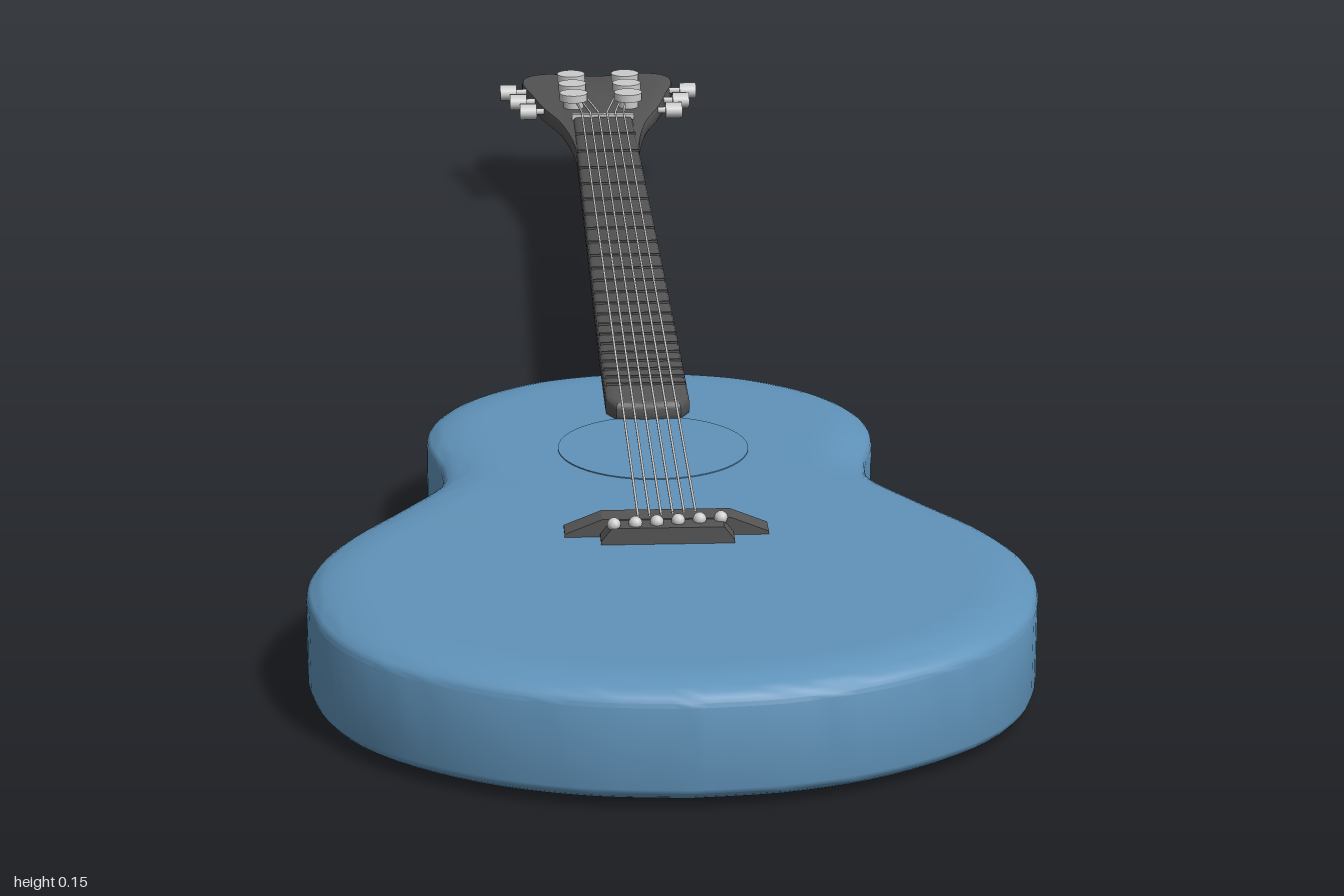
import * as THREE from 'three';
import { toCreasedNormals } from 'three/addons/utils/BufferGeometryUtils.js';

const blue = new THREE.MeshStandardMaterial({ color: 0x6093ba });
const dark = new THREE.MeshStandardMaterial({ color: 0x555555 });
const grey = new THREE.MeshStandardMaterial({ color: 0xcccccc });

const v2 = ([x, z]) => new THREE.Vector2(x, z);
const v3 = (x, y, z) => new THREE.Vector3(x, y, z);

// Closed outline from its +x half (listed in order), mirrored to -x.
function mirroredOutline(half) {
  return [...half, ...half.slice().reverse()
    .filter(([x]) => x > 1e-4).map(([x, z]) => [-x, z])];
}

// Smooth +x half through a few points.
function smoothHalf(points, n) {
  return new THREE.SplineCurve(points.map(v2)).getPoints(n).map(p => [Math.max(0, p.x), p.y]);
}

// Slab with an (x, z) outline between y0 and y1, with rounded rims.
function slab(outline, y0, y1, inset, rise, segments) {
  const geo = new THREE.ExtrudeGeometry(new THREE.Shape(outline.map(v2)), {
    depth: y1 - y0 - 2 * rise, bevelEnabled: inset > 0, bevelSize: inset,
    bevelOffset: -inset, bevelThickness: rise, bevelSegments: segments,
  });
  geo.rotateX(Math.PI / 2);
  geo.translate(0, y1 - rise, 0);
  return toCreasedNormals(geo, 0.6);
}

export function createModel() {
  const model = new THREE.Group();
  const add = (name, geo, mat, parent = model) => {
    const mesh = new THREE.Mesh(geo, mat);
    mesh.name = name;
    parent.add(mesh);
    return mesh;
  };
  const group = name => {
    const g = new THREE.Group();
    g.name = name;
    model.add(g);
    return g;
  };
  const rod = (name, a, b, r, mat, parent, sides = 6) => {
    const mesh = add(name, new THREE.CylinderGeometry(r, r, a.distanceTo(b), sides), mat, parent);
    mesh.position.copy(a).add(b).multiplyScalar(0.5);
    mesh.quaternion.setFromUnitVectors(v3(0, 1, 0), b.clone().sub(a).normalize());
    return mesh;
  };

  // Hollow-waisted body
  const bodyHalf = smoothHalf([
    [0, 0.11], [0.06, 0.117], [0.12, 0.139], [0.18, 0.188], [0.214, 0.25], [0.22, 0.315],
    [0.207, 0.385], [0.21, 0.44], [0.25, 0.51], [0.3, 0.59], [0.328, 0.665], [0.332, 0.74],
    [0.31, 0.83], [0.262, 0.9], [0.18, 0.958], [0.09, 0.99], [0, 1],
  ], 70);
  add('body', slab(mirroredOutline(bodyHalf), 0, 0.116, 0.055, 0.02, 8), blue);

  // Sound hole cover
  const hole = add('soundHole', new THREE.CylinderGeometry(0.093, 0.093, 0.003, 48), blue);
  hole.position.set(0, 0.1155, 0.375);

  // Neck
  add('neck', slab(mirroredOutline([
    [0, 0.292], [0.032, 0.29], [0.042, 0.27], [0.042, 0.1], [0.036, -0.79], [0, -0.79],
  ]), 0.113, 0.134, 0.005, 0.007, 3), dark);

  // Headstock flaring to two rounded lobes
  const headHalf = smoothHalf([
    [0.036, -0.63], [0.041, -0.7], [0.052, -0.775], [0.07, -0.84], [0.082, -0.9], [0.092, -0.955],
    [0.085, -0.988], [0.06, -1], [0.03, -0.993], [0, -0.987],
  ], 40);
  add('headstock', slab(mirroredOutline([[0, -0.63], ...headHalf]), 0.113, 0.131, 0.003, 0.003, 2), dark);

  // Nut and frets, spaced by the usual twelfth-root rule
  const nutZ = -0.785, saddleZ = 0.63, fretBoard = group('frets');
  add('nut', new THREE.BoxGeometry(0.074, 0.008, 0.007), grey).position.set(0, 0.1335, nutZ);
  for (let i = 1; i <= 22; i++) {
    const z = saddleZ - (saddleZ - nutZ) / 2 ** (i / 12);
    const w = 0.07 + 0.01 * Math.min(1, (z - nutZ) / 0.9);
    add('fret', new THREE.BoxGeometry(w, 0.003, 0.003), dark, fretBoard).position.set(0, 0.1345, z);
  }

  // Bridge with sloping ends, and the lower plate that holds the pins
  const bridge = group('bridge');
  const wedge = (name, w, top, h, z0, z1) => {
    const s = new THREE.Shape([[-w, 0], [w, 0], [w, 0.005], [top, h], [-top, h], [-w, 0.005]].map(v2));
    const geo = new THREE.ExtrudeGeometry(s, { depth: z1 - z0, bevelEnabled: false });
    geo.translate(0, 0.114, z0);
    add(name, geo, dark, bridge);
  };
  wedge('bridgeBase', 0.095, 0.06, 0.019, 0.598, 0.624);
  wedge('pinPlate', 0.062, 0.052, 0.018, 0.622, 0.646);

  // Strings from bridge pin over the nut to a tuning post
  const strings = group('strings'), tuners = group('tuners');
  const rows = [-0.84, -0.885, -0.93];
  for (let i = 0; i < 6; i++) {
    const t = i / 5 - 0.5, side = Math.sign(t);
    const row = i < 3 ? i : 5 - i;
    const pinZ = 0.633 - 0.014 * t;
    const pin = add('bridgePin', new THREE.SphereGeometry(0.0065, 10, 8), grey, bridge);
    pin.position.set(t * 0.1, 0.134, pinZ);
    const nutPoint = v3(t * 0.05, 0.139, nutZ);
    rod('string', v3(t * 0.054, 0.137, pinZ - 0.012), nutPoint, 0.0013, grey, strings);
    rod('stringEnd', nutPoint, v3(side * 0.03, 0.139, rows[row]), 0.0013, grey, strings);
  }

  // Tuning posts, shafts and side buttons, three on each side
  for (const side of [-1, 1]) {
    rows.forEach((z, i) => {
      const outer = 0.098 + 0.011 * i;
      rod('tuningPost', v3(side * 0.033, 0.128, z), v3(side * 0.033, 0.145, z), 0.012, grey, tuners, 16);
      rod('postCap', v3(side * 0.033, 0.14, z), v3(side * 0.033, 0.149, z), 0.017, grey, tuners, 16);
      rod('tunerShaft', v3(side * 0.06, 0.126, z), v3(side * outer, 0.126, z), 0.004, grey, tuners, 8);
      rod('tunerButton', v3(side * (outer - 0.02), 0.126, z), v3(side * outer, 0.126, z), 0.0095, grey, tuners, 12)
        .scale.z = 1.4;
    });
  }

  return model;
}
